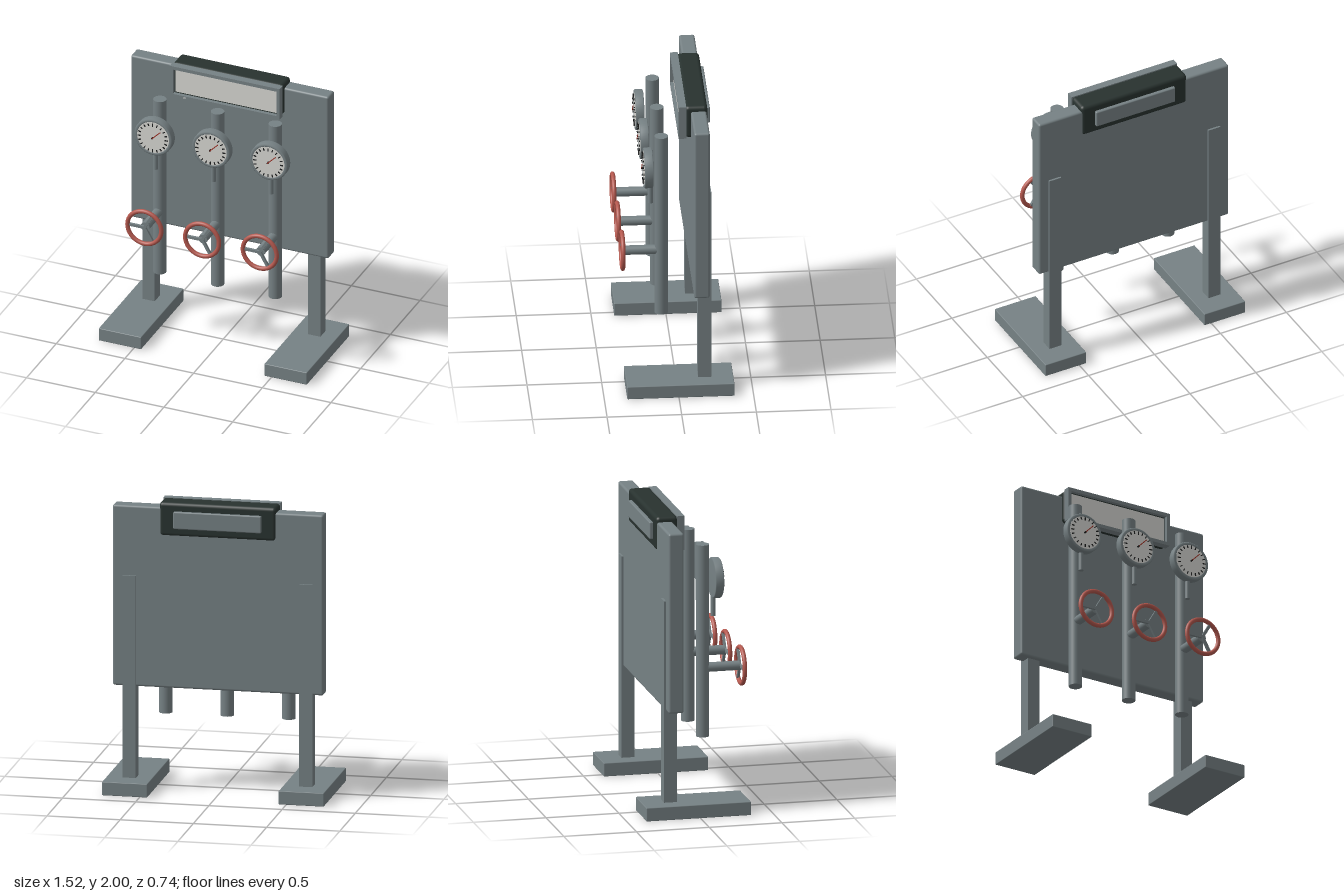
import * as THREE from 'three';
import { RoundedBoxGeometry } from 'three/addons/geometries/RoundedBoxGeometry.js';

const steel = new THREE.MeshStandardMaterial({ name: 'steelGrey', color: 0x768184 });
const dark = new THREE.MeshStandardMaterial({ name: 'darkCasing', color: 0x28322f });
const white = new THREE.MeshStandardMaterial({ name: 'dialWhite', color: 0xd6d6d2 });
const red = new THREE.MeshStandardMaterial({ name: 'wheelRed', color: 0xb4584e });
const needleRed = new THREE.MeshStandardMaterial({ name: 'needleRed', color: 0x9c3024 });
const black = new THREE.MeshStandardMaterial({ name: 'tickBlack', color: 0x1c1e1e });

function add(parent, name, geometry, material, x = 0, y = 0, z = 0) {
  const mesh = new THREE.Mesh(geometry, material);
  mesh.name = name;
  mesh.position.set(x, y, z);
  parent.add(mesh);
  return mesh;
}

// Box given by its lower and upper limits; r rounds the edges
function block(parent, name, material, [x0, x1], [y0, y1], [z0, z1], r = 0) {
  const size = [x1 - x0, y1 - y0, z1 - z0];
  const geometry = r ? new RoundedBoxGeometry(...size, 3, r) : new THREE.BoxGeometry(...size);
  return add(parent, name, geometry, material, (x0 + x1) / 2, (y0 + y1) / 2, (z0 + z1) / 2);
}

// Cylinder lying along z
function rod(r, z0, z1, sides = 32) {
  return new THREE.CylinderGeometry(r, r, z1 - z0, sides).rotateX(Math.PI / 2).translate(0, 0, (z0 + z1) / 2);
}

function makeGauge() {
  const g = new THREE.Group();
  g.name = 'gauge';
  // Case with a raised bezel around the dial
  const profile = [[0, 0.155], [0.13, 0.155], [0.137, 0.16], [0.137, 0.207], [0.131, 0.213], [0.119, 0.213], [0.115, 0.209]];
  const points = [];
  profile.forEach(([r, z]) => points.push(new THREE.Vector2(r, z)));
  add(g, 'gaugeCase', new THREE.LatheGeometry(points, 48).rotateX(Math.PI / 2), steel).material = steel;
  add(g, 'dial', rod(0.116, 0.204, 0.211, 48), white);
  for (let i = 0; i < 20; i++) {
    const long = i % 5 === 0 ? 0.022 : 0.018;
    const tick = new THREE.BoxGeometry(0.006, long, 0.006).translate(0, 0.109 - long / 2, 0.218);
    add(g, 'tick', tick.rotateZ(i * Math.PI / 10), black);
  }
  // Needle pointing up and to the side
  add(g, 'needle', new THREE.BoxGeometry(0.006, 0.085, 0.005).translate(0, 0.04, 0.227).rotateZ(-Math.PI / 4), needleRed);
  add(g, 'needlePivot', rod(0.006, 0.21, 0.229, 12), black);
  add(g, 'gaugeStem', new THREE.CylinderGeometry(0.017, 0.017, 0.15, 20), steel, 0, -0.187, 0.167);
  return g;
}

function makeValve() {
  const g = new THREE.Group();
  g.name = 'valve';
  add(g, 'valveStem', rod(0.032, 0.1, 0.346), steel);
  add(g, 'wheelRim', new THREE.TorusGeometry(0.123, 0.015, 16, 48), red, 0, 0, 0.357);
  for (let i = 0; i < 3; i++) {
    const spoke = new THREE.BoxGeometry(0.12, 0.019, 0.017).translate(0.06, 0, 0.352);
    add(g, 'spoke', spoke.rotateZ(Math.PI / 3 + i * Math.PI * 2 / 3), steel);
  }
  return g;
}

function makeSign() {
  const g = new THREE.Group();
  g.name = 'signBox';
  block(g, 'casing', dark, [-0.4, 0.4], [1.767, 2], [-0.217, -0.068], 0.025);
  block(g, 'backCover', steel, [-0.3, 0.3], [1.825, 1.943], [-0.24, -0.21], 0.008);
  // Front frame with a window
  const shape = new THREE.Shape();
  shape.moveTo(-0.4, 1.765).lineTo(0.4, 1.765).lineTo(0.4, 2).lineTo(-0.4, 2).closePath();
  const hole = new THREE.Path();
  hole.moveTo(-0.377, 1.789).lineTo(-0.377, 1.976).lineTo(0.377, 1.976).lineTo(0.377, 1.789).closePath();
  shape.holes.push(hole);
  add(g, 'frame', new THREE.ExtrudeGeometry(shape, { depth: 0.052, bevelEnabled: false }), steel, 0, 0, -0.075);
  block(g, 'screenSurround', dark, [-0.378, 0.378], [1.788, 1.977], [-0.075, -0.05]);
  block(g, 'screen', white, [-0.368, 0.368], [1.799, 1.966], [-0.052, -0.044]);
  block(g, 'indicator', white, [-0.3, -0.283], [1.774, 1.781], [-0.024, -0.019]);
  return g;
}

export function createModel() {
  const model = new THREE.Group();
  model.name = 'gaugePanelStand';

  block(model, 'panel', steel, [-0.72, 0.72], [0.722, 1.965], [-0.21, -0.105], 0.015);
  model.add(makeSign());

  // Legs and feet, mirrored
  for (const s of [-1, 1]) {
    const span = (a, b) => (s > 0 ? [a, b] : [-b, -a]);
    block(model, 'leg', steel, span(0.558, 0.648), [0.09, 1.485], [-0.224, -0.136]);
    block(model, 'foot', steel, span(0.448, 0.758), [0, 0.093], [-0.372, 0.347], 0.005);
  }

  // Three pipes, each with a gauge and a hand wheel
  for (const x of [-0.42, 0, 0.42]) {
    add(model, 'pipe', new THREE.CylinderGeometry(0.045, 0.045, 1.325, 32), steel, x, 1.14, 0.095);
    const gauge = makeGauge();
    gauge.position.set(x, 1.566, 0);
    const valve = makeValve();
    valve.position.set(x, 0.95, 0);
    model.add(gauge, valve);
  }
  return model;
}
